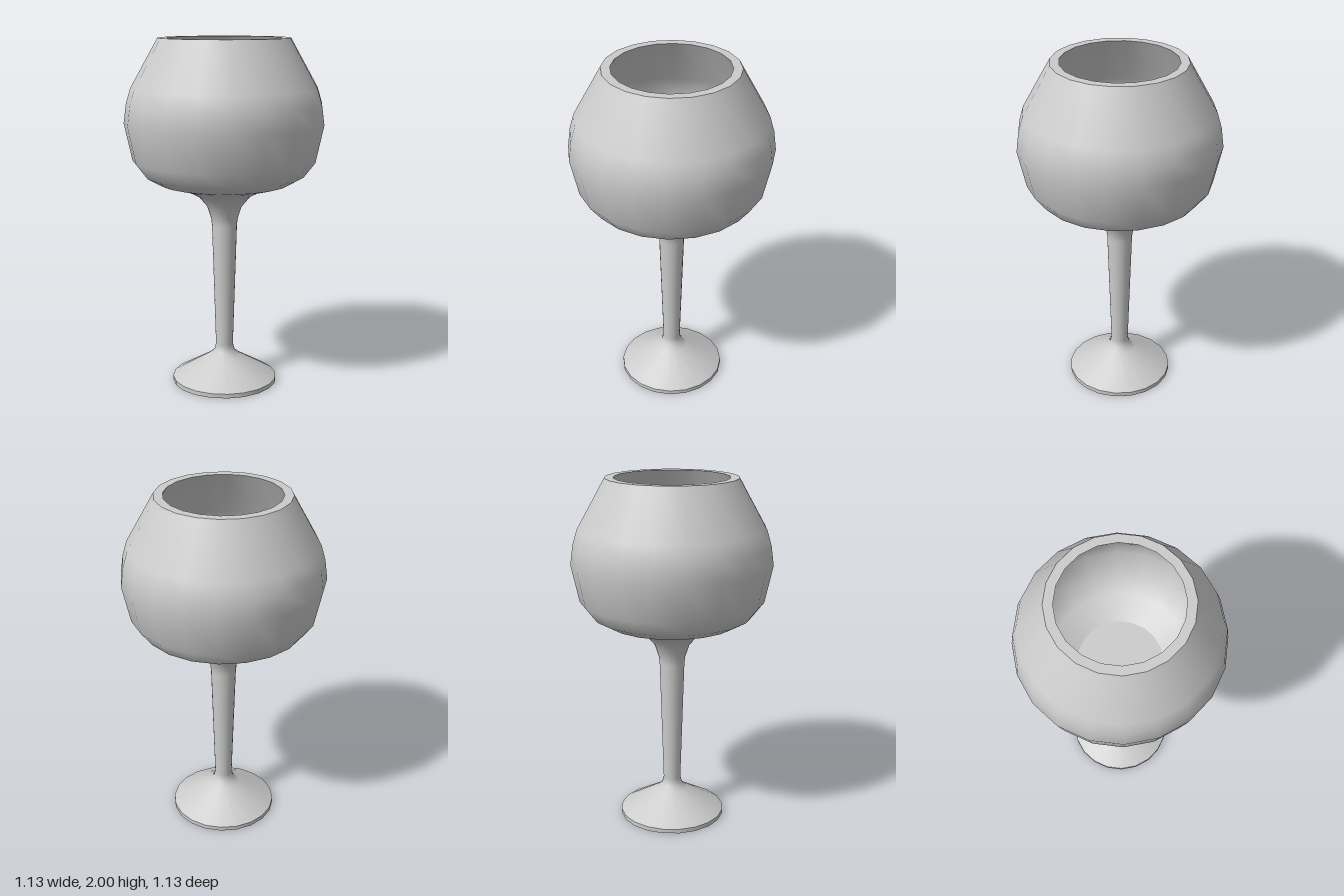
import * as THREE from 'three';

const SIDES = 20;

export function createModel() {
  const goblet = new THREE.Group();
  goblet.name = 'goblet';
  const material = new THREE.MeshStandardMaterial({ color: 0xcccccc });

  // Each profile is a smooth strip of [radius, height]; edges between strips stay sharp.
  const turn = (name, profile) => {
    const points = profile.map(([r, y]) => new THREE.Vector2(r, y));
    const mesh = new THREE.Mesh(new THREE.LatheGeometry(points, SIDES), material);
    mesh.name = name;
    goblet.add(mesh);
  };

  // Foot: flat underside and thin vertical edge
  turn('footUnderside', [[0, 0], [0.305, 0]]);
  turn('footEdge', [[0.305, 0], [0.305, 0.025]]);

  // Foot slope, stem and bowl in one continuous curve
  turn('stemAndBowl', [
    [0.305, 0.025], [0.095, 0.15], [0.06, 0.18], [0.05, 0.22],
    [0.072, 0.94], [0.077, 0.98], [0.1, 1.05], [0.15, 1.11], [0.225, 1.15],
    [0.375, 1.19], [0.455, 1.235], [0.52, 1.32],
    [0.565, 1.53], [0.55, 1.64], [0.525, 1.725], [0.37, 2],
  ]);

  // Flat lip
  turn('rim', [[0.37, 2], [0.32, 2]]);

  // Hollow inside, following the outer wall down to a flat floor
  turn('bowlInside', [
    [0.32, 2], [0.475, 1.725], [0.5, 1.64], [0.515, 1.53],
    [0.47, 1.36], [0.38, 1.29], [0.24, 1.22],
  ]);
  turn('bowlFloor', [[0.24, 1.22], [0, 1.22]]);

  return goblet;
}
